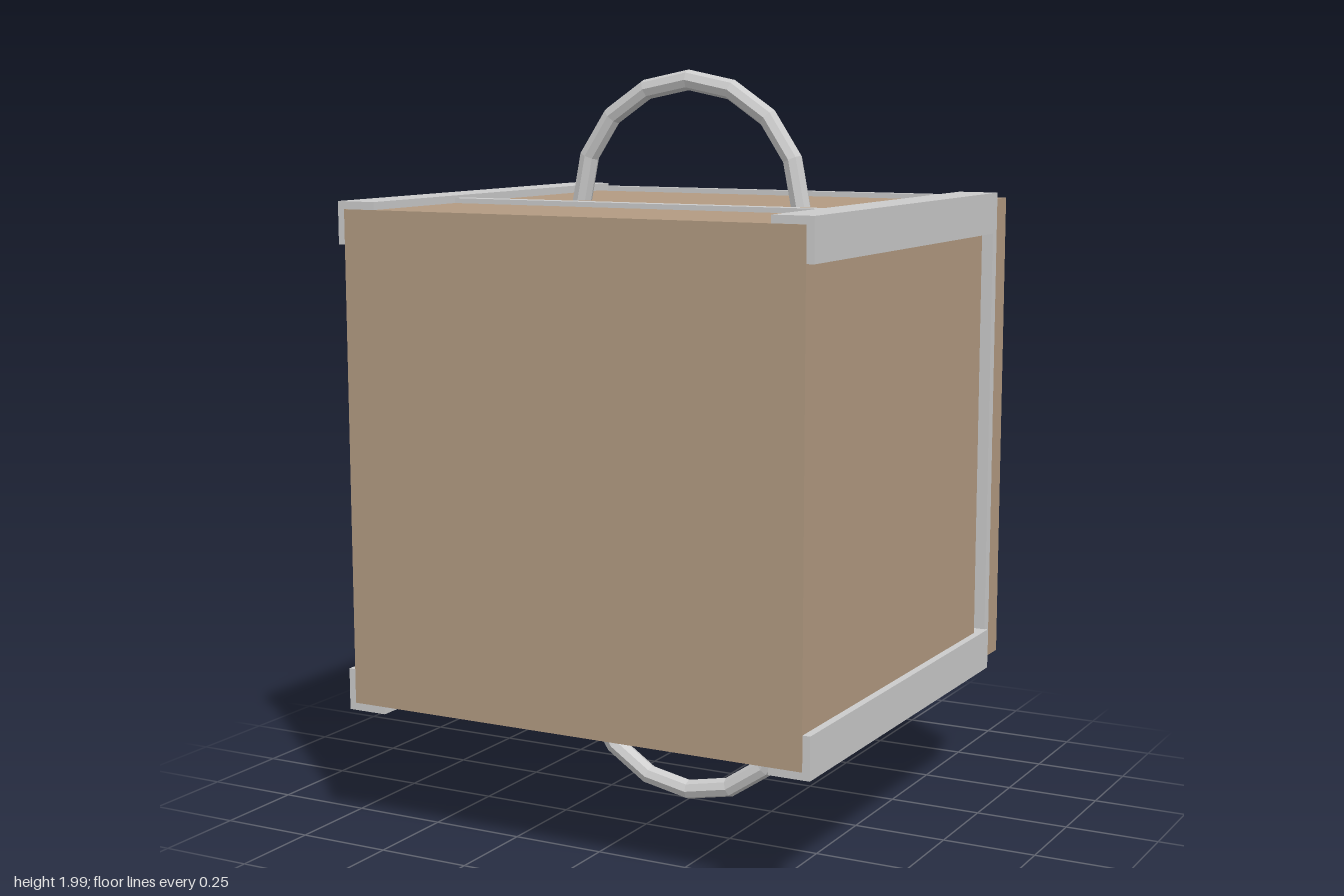
import * as THREE from 'three';

const GREY = new THREE.MeshStandardMaterial({ color: 0xcccccc, flatShading: true });
const BROWN = new THREE.MeshStandardMaterial({ color: 0xb39b82, flatShading: true });
const MID = 1.005; // height of the crate's centre

export function createModel() {
  const group = new THREE.Group();

  // box given by its limits on each axis, y measured from the crate's centre
  const box = (name, [x0, x1], [y0, y1], [z0, z1], material = GREY) => {
    const mesh = new THREE.Mesh(new THREE.BoxGeometry(x1 - x0, y1 - y0, z1 - z0), material);
    mesh.position.set((x0 + x1) / 2, MID + (y0 + y1) / 2, (z0 + z1) / 2);
    mesh.name = name;
    group.add(mesh);
  };
  const mirrored = (s, a, b) => (s > 0 ? [a, b] : [-b, -a]);

  // crate body and the separate back panel
  box('body', [-0.645, 0.645], [-0.645, 0.645], [-0.472, 0.655], BROWN);
  box('backPanel', [-0.645, 0.645], [-0.645, 0.645], [-0.655, -0.552], BROWN);

  for (const s of [1, -1]) {
    // rails along the four long edges
    for (const t of [1, -1]) {
      box('edgeRail', mirrored(s, 0.555, 0.665), mirrored(t, 0.555, 0.665), [-0.53, 0.653]);
    }
    // thin frame between body and back panel
    box('frameUpright', mirrored(s, 0.625, 0.656), [-0.656, 0.656], [-0.556, -0.526]);
    box('frameCrossbar', [-0.625, 0.625], mirrored(s, 0.625, 0.656), [-0.556, -0.526]);
    // slim strap across top and bottom
    box('strap', [-0.555, 0.555], mirrored(s, 0.64, 0.658), [0.245, 0.287]);

    // faceted half-ring handle on top and bottom
    const handle = new THREE.Mesh(new THREE.TorusGeometry(0.328, 0.027, 8, 8, Math.PI), GREY);
    handle.name = s > 0 ? 'topHandle' : 'bottomHandle';
    handle.position.set(0, MID + s * 0.64, 0.008);
    handle.rotation.z = s > 0 ? 0 : Math.PI;
    group.add(handle);
  }
  return group;
}
